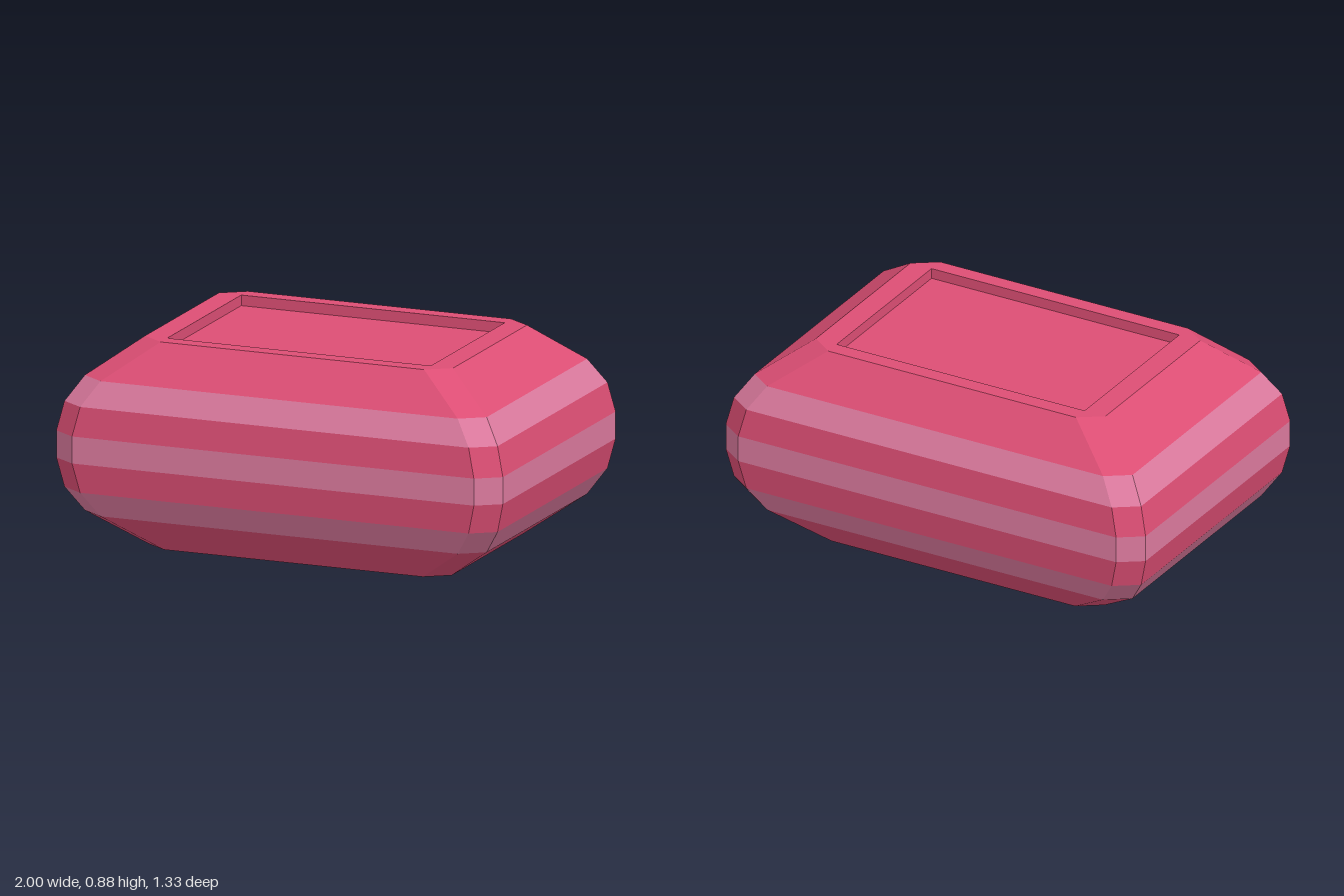
import * as THREE from 'three';

const red = new THREE.MeshStandardMaterial({ color: 0xdc4e74, flatShading: true });
const pink = new THREE.MeshStandardMaterial({ color: 0xdc7a9e, flatShading: true });

// Cross-sections from bottom to top: height, half width, half depth
const sections = [
  [0, 0.68, 0.45], [0.155, 0.9, 0.6], [0.26, 0.97, 0.65], [0.385, 1, 0.665],
  [0.5, 1, 0.665], [0.625, 0.97, 0.65], [0.73, 0.9, 0.6], [0.885, 0.69, 0.46],
];
const CUT_X = 0.1, CUT_Z = 0.07, RECESS_X = 0.59, RECESS_Z = 0.39, RECESS_DEPTH = 0.045;

// Rectangle with bevelled corners, running from +x towards -z
function octagon([y, w, d]) {
  const a = w - CUT_X, b = d - CUT_Z;
  return [[w, b], [w, -b], [a, -d], [-a, -d], [-w, -b], [-w, b], [-a, d], [a, d]]
    .map(([x, z]) => new THREE.Vector3(x, y, z));
}

function rectangle(y) {
  return [[1, 1], [1, -1], [-1, -1], [-1, 1]]
    .map(([sx, sz]) => new THREE.Vector3(sx * RECESS_X, y, sz * RECESS_Z));
}

// Wall between two loops; faces outwards when the second loop is the higher one
function wall(lower, upper) {
  const points = [];
  lower.forEach((a, i) => {
    const j = (i + 1) % lower.length;
    points.push(a, lower[j], upper[j], a, upper[j], upper[i]);
  });
  const geometry = new THREE.BufferGeometry().setFromPoints(points);
  geometry.computeVertexNormals();
  return geometry;
}

function add(parent, name, geometry, material) {
  const mesh = new THREE.Mesh(geometry, material);
  mesh.name = name;
  parent.add(mesh);
  return mesh;
}

// Flat rim with a sunken rectangular panel; side is 1 for the top, -1 for the bottom
function endCap(name, section, side) {
  const cap = new THREE.Group();
  cap.name = name;
  const y = section[0], floorY = y - side * RECESS_DEPTH;
  const flat = (loop) => loop.map((p) => new THREE.Vector2(p.x, -p.z));
  const shape = new THREE.Shape(flat(octagon(section)));
  shape.holes.push(new THREE.Path(flat(rectangle(y)).reverse()));

  const turn = -side * Math.PI / 2;
  add(cap, 'rim', new THREE.ShapeGeometry(shape).rotateX(turn).translate(0, y, 0), red);
  add(cap, 'recessFloor',
    new THREE.PlaneGeometry(RECESS_X * 2, RECESS_Z * 2).rotateX(turn).translate(0, floorY, 0), red);
  // Recess walls face inwards, so the loops run from high to low
  const high = rectangle(Math.max(y, floorY)), low = rectangle(Math.min(y, floorY));
  add(cap, 'recessWalls', wall(high, low), red);
  return cap;
}

export function createModel() {
  const model = new THREE.Group();
  model.name = 'paperLantern';

  // Alternating coloured bands
  for (let i = 0; i < sections.length - 1; i++) {
    add(model, `band${i + 1}`, wall(octagon(sections[i]), octagon(sections[i + 1])), i % 2 ? pink : red);
  }

  model.add(endCap('topCap', sections[sections.length - 1], 1));
  model.add(endCap('bottomCap', sections[0], -1));
  return model;
}
